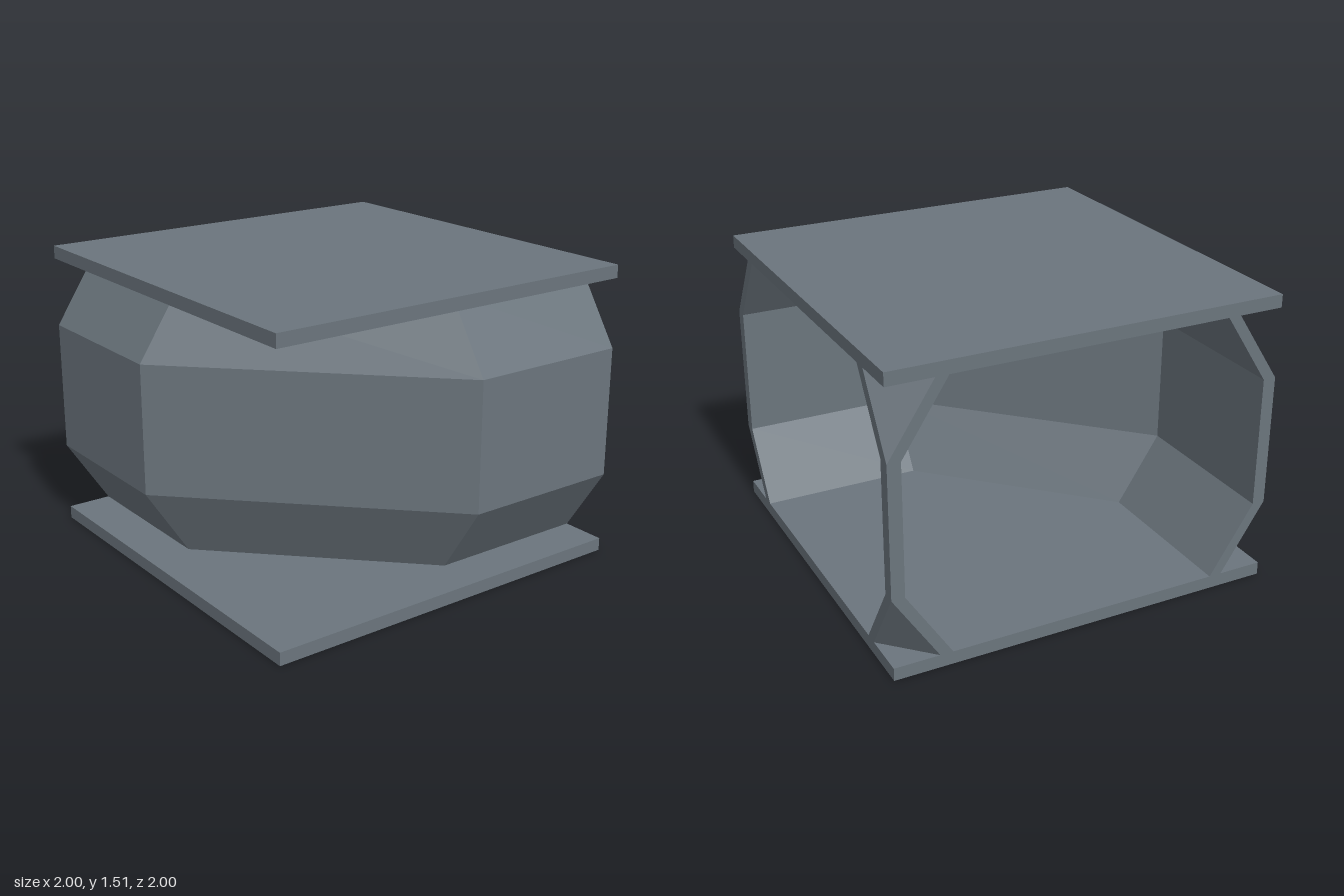
import * as THREE from 'three';

const THICK = 0.066, HEIGHT = 1.508;
const LEVELS = [THICK, 0.42, 1.088, HEIGHT - THICK];
const OUTER = [0.77, 1, 1, 0.77];
const INNER = [0.705, 0.934, 0.934, 0.705];

// Wall cross-section: up the outside, down the inside, as [offset, y]
const PROFILE = [
  ...LEVELS.map((y, i) => [OUTER[i], y]),
  ...LEVELS.map((y, i) => [INNER[i], y]).reverse(),
];

// Solid wall through a list of stations, each mapping an offset to [x, z]
function wallGeometry(stations) {
  const rings = stations.map((at) => PROFILE.map(([d, y]) => {
    const [x, z] = at(d);
    return new THREE.Vector3(x, y, z);
  }));
  const positions = [];
  const tri = (a, b, c) => {
    if (new THREE.Triangle(a, b, c).getArea() < 1e-7) return;
    for (const v of [a, b, c]) positions.push(v.x, v.y, v.z);
  };
  const quad = (a, b, c, d) => { tri(a, b, c); tri(a, c, d); };
  const n = PROFILE.length;

  // Faces between neighbouring stations
  for (let s = 0; s < rings.length - 1; s++) {
    const p = rings[s], q = rings[s + 1];
    for (let i = 0; i < n; i++) {
      const j = (i + 1) % n;
      quad(p[i], p[j], q[j], q[i]);
    }
  }
  // End faces, framing the two openings
  const first = rings[0], last = rings[rings.length - 1];
  for (let i = 0; i < 3; i++) {
    const k = n - 1 - i;
    quad(first[i], first[k], first[k - 1], first[i + 1]);
    quad(last[i], last[i + 1], last[k - 1], last[k]);
  }
  const geometry = new THREE.BufferGeometry();
  geometry.setAttribute('position', new THREE.Float32BufferAttribute(positions, 3));
  geometry.computeVertexNormals();
  return geometry;
}

export function createModel() {
  const group = new THREE.Group();
  const metal = new THREE.MeshStandardMaterial({ color: 0x6b757d });
  metal.name = 'slateGrey';

  const add = (name, geometry, y = 0) => {
    const mesh = new THREE.Mesh(geometry, metal);
    mesh.name = name;
    mesh.position.y = y;
    group.add(mesh);
  };

  // Floor and ceiling slabs
  const slab = new THREE.BoxGeometry(2, THICK, 2);
  add('floor', slab, THICK / 2);
  add('ceiling', slab, HEIGHT - THICK / 2);

  // Outer wall of the bend: straight, diagonal, straight
  add('outerWall', wallGeometry([
    (d) => [1, d],
    (d) => [0.145, d],
    (d) => [-d, -0.145],
    (d) => [-d, -1],
  ]));

  // Slim post at the inner corner, flaring towards floor and ceiling
  add('cornerPost', wallGeometry([
    (d) => [d, -1],
    (d) => [1, -d],
  ]));

  return group;
}
